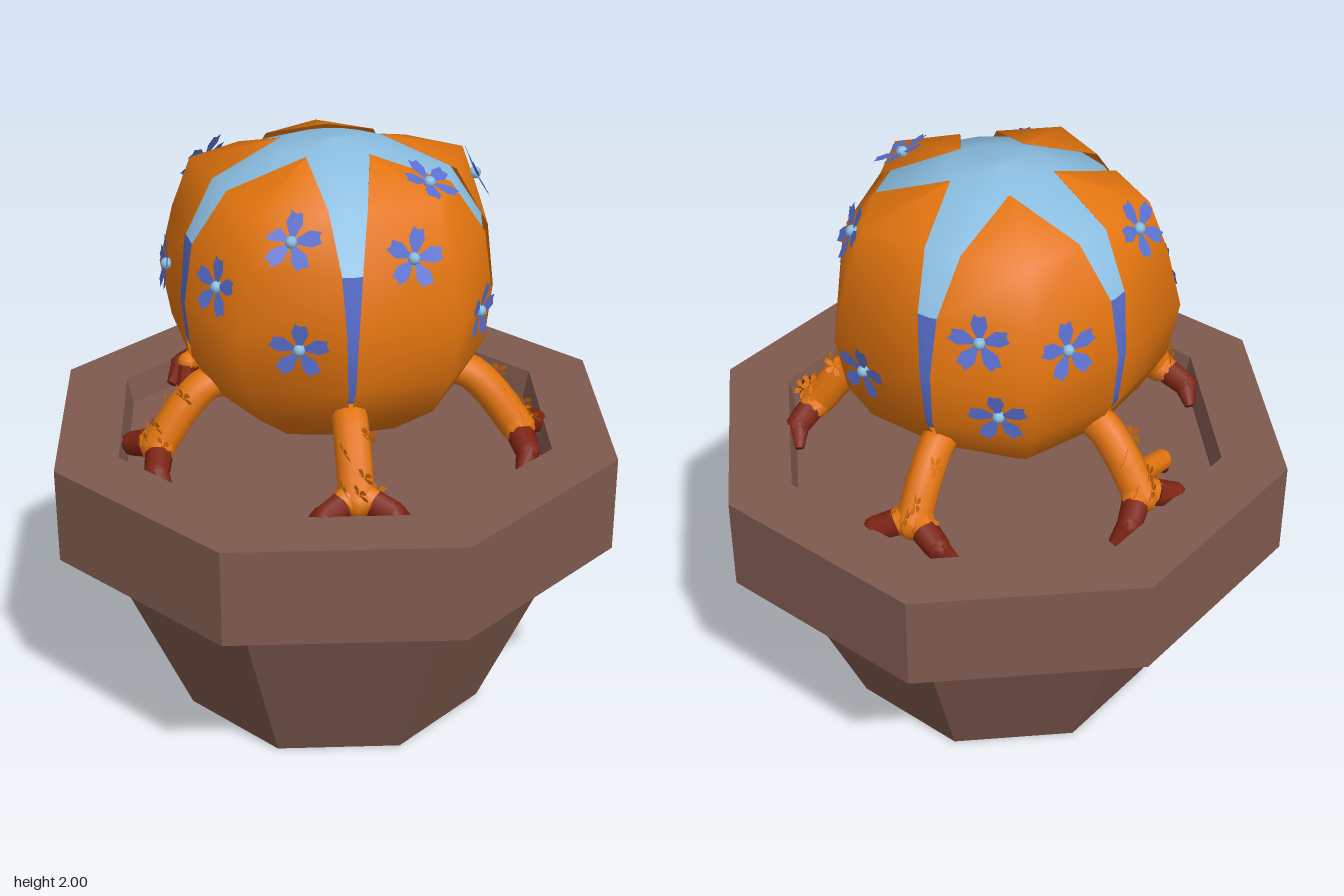
import * as THREE from 'three';
import { mergeGeometries } from 'three/addons/utils/BufferGeometryUtils.js';

const V = (x, y, z) => new THREE.Vector3(x, y, z);
const DEG = Math.PI / 180;

function material(name, color, options = {}) {
  const m = new THREE.MeshStandardMaterial({ color, ...options });
  m.name = name;
  return m;
}

function add(parent, name, geometry, mat) {
  const mesh = new THREE.Mesh(geometry, mat);
  mesh.name = name;
  parent.add(mesh);
  return mesh;
}

// Tapered round segment running from a to b
function segment(a, b, r0, r1) {
  const dir = b.clone().sub(a);
  const g = new THREE.CylinderGeometry(r1, r0, dir.length(), 8);
  g.applyQuaternion(new THREE.Quaternion().setFromUnitVectors(V(0, 1, 0), dir.normalize()));
  const mid = a.clone().add(b).multiplyScalar(0.5);
  return g.translate(mid.x, mid.y, mid.z);
}

function ball(p, r) {
  return new THREE.SphereGeometry(r, 8, 6).translate(p.x, p.y, p.z);
}

// Open, lathed profile given as [radius, y] pairs
function lathe(points, sides) {
  return new THREE.LatheGeometry(points.map(p => new THREE.Vector2(...p)), sides);
}

// Body segment rows: [middle radius, edge radius, half gap, y]
const ROWS = [
  [0.17, 0.14, 0.1, 1.985], [0.47, 0.39, 0.06, 1.9], [0.535, 0.5, 0.032, 1.73],
  [0.585, 0.525, 0.018, 1.53], [0.55, 0.505, 0.012, 1.34], [0.47, 0.43, 0, 1.2],
  [0.3, 0.27, 0, 1.075], [0.001, 0.001, 0, 1.05],
];

function segmentShell() {
  const pos = [], idx = [];
  const c = Math.cos(36 * DEG), s = Math.sin(36 * DEG);
  ROWS.forEach(([mid, r, w, y], j) => {
    const x = r * c + w * s, z = r * s - w * c;
    pos.push(x, y, -z, mid, y, 0, x, y, z);
    if (j === ROWS.length - 1) return;
    for (let k = 0; k < 2; k++) {
      const i = j * 3 + k;
      idx.push(i, i + 1, i + 4, i, i + 4, i + 3);
    }
  });
  const g = new THREE.BufferGeometry();
  g.setAttribute('position', new THREE.Float32BufferAttribute(pos, 3));
  g.setIndex(idx);
  g.computeVertexNormals();
  return g;
}

// Five notched petals lying in the xy plane
function flowerPetals(r) {
  const shape = new THREE.Shape([
    [0.12, -0.06], [0.6, -0.27], [0.95, -0.2], [0.9, 0], [1, 0.16], [0.62, 0.27], [0.12, 0.06],
  ].map(([x, y]) => new THREE.Vector2(x * r, y * r)));
  const parts = [];
  for (let i = 0; i < 5; i++) {
    parts.push(new THREE.ShapeGeometry(shape).rotateY(-0.1).rotateZ(i * 72 * DEG));
  }
  return mergeGeometries(parts);
}

export function createModel() {
  const model = new THREE.Group();
  model.name = 'pottedCreature';
  const clay = material('clay brown', 0x7e5a4e, { flatShading: true });
  const orange = material('orange', 0xe2740e, { side: THREE.DoubleSide });
  const sky = material('light blue', 0x8abde0);
  const violet = material('violet blue', 0x5a70d0, { side: THREE.DoubleSide });
  const claw = material('claw red', 0x7c2312);

  // Octagonal pot with a thick rim and a shallow recess
  add(model, 'pot', lathe([
    [0, 0], [0.54, 0], [0.84, 0.69], [0.985, 0.69], [0.985, 1.02],
    [0.765, 1.02], [0.745, 0.93], [0, 0.93],
  ], 8), clay);

  // Inner core that shows between the shell segments
  add(model, 'coreBand', lathe([
    [0.41, 1.2], [0.49, 1.34], [0.51, 1.53], [0.488, 1.72],
  ], 20), violet);
  add(model, 'coreDome', lathe([
    [0.488, 1.72], [0.38, 1.89], [0.17, 1.972], [0, 2],
  ], 20), sky);

  // Five orange shell segments
  const shells = [];
  const shellGeometry = segmentShell();
  for (let i = 0; i < 5; i++) {
    const shell = add(model, 'shellSegment', shellGeometry, orange);
    shell.rotation.y = -i * 72 * DEG;
    shell.updateMatrixWorld();
    shells.push(shell);
  }

  // Flowers, dropped onto the shell along rays to its middle
  const petalGeometry = flowerPetals(0.098);
  const budGeometry = new THREE.SphereGeometry(0.02, 8, 6);
  const middle = V(0, 1.5, 0);
  [
    [0.18, 1.93, 0.33], [0.04, 1.76, 0.49], [0.31, 1.52, 0.45],
    [0.45, 1.83, 0.09], [0.57, 1.45, -0.1],
    [-0.31, 1.83, 0.36], [-0.32, 1.5, 0.44], [-0.5, 1.65, 0.2],
    [0.3, 1.68, -0.43], [0.05, 1.63, -0.5], [0.27, 1.42, -0.5],
    [-0.3, 1.86, -0.34], [-0.5, 1.58, -0.2],
  ].forEach((p, i) => {
    const dir = V(...p).sub(middle).normalize();
    const ray = new THREE.Raycaster(middle.clone().addScaledVector(dir, 2), dir.clone().negate());
    const hit = ray.intersectObjects(shells)[0];
    if (!hit) return;
    const normal = hit.face.normal.clone().transformDirection(hit.object.matrixWorld);
    normal.lerp(dir, 0.4).normalize();
    const flower = new THREE.Group();
    flower.name = 'flower';
    add(flower, 'flowerPetals', petalGeometry, violet).rotation.z = i * 1.3;
    add(flower, 'flowerCentre', budGeometry, sky);
    flower.position.copy(hit.point).addScaledVector(normal, 0.012);
    flower.lookAt(flower.position.clone().add(normal));
    model.add(flower);
  });

  // Five legs under the gaps, each with spread claws
  const path = new THREE.CatmullRomCurve3([
    V(0.36, 1.23, 0), V(0.45, 1.225, 0), V(0.53, 1.16, 0), V(0.6, 1.07, 0), V(0.63, 1.03, 0),
  ]);
  const limbParts = [
    new THREE.TubeGeometry(path, 10, 0.058, 10),
    ball(V(0.63, 1.03, 0), 0.058),
  ];
  const clawParts = [];
  for (const side of [-1, 1]) {
    const knuckle = V(0.645, 1.025, side * 0.05), bend = V(0.675, 1.0, side * 0.11);
    limbParts.push(segment(V(0.61, 1.05, 0), knuckle, 0.05, 0.045));
    clawParts.push(
      segment(knuckle, bend, 0.046, 0.042), ball(bend, 0.042),
      segment(bend, V(0.66, 0.95, side * 0.17), 0.042, 0.018),
    );
  }
  const limbGeometry = mergeGeometries(limbParts);
  const clawGeometry = mergeGeometries(clawParts);
  const smallFlower = flowerPetals(0.036);

  for (let i = 0; i < 5; i++) {
    const leg = new THREE.Group();
    leg.name = 'leg';
    leg.rotation.y = -(36 + i * 72) * DEG;
    add(leg, 'limb', limbGeometry, orange);
    add(leg, 'claws', clawGeometry, claw);

    // Small raised blossoms along the limb
    [[0.45, -0.7], [0.55, 0.6], [0.72, -0.3], [0.85, 0.8], [0.95, 0], [0.9, -1.2]].forEach(([t, tilt]) => {
      const tangent = path.getTangent(t);
      const out = V(-tangent.y, tangent.x, 0).multiplyScalar(Math.cos(tilt));
      out.z = Math.sin(tilt);
      const blossom = add(leg, 'legBlossom', smallFlower, orange);
      blossom.position.copy(path.getPoint(t)).addScaledVector(out, 0.064);
      blossom.lookAt(blossom.position.clone().add(out));
    });
    model.add(leg);
  }

  // Extra curled toe beside the back leg
  const toe = [V(-0.2, 1.09, -0.56), V(-0.33, 1.06, -0.5), V(-0.37, 0.98, -0.46)];
  add(model, 'curledToe', mergeGeometries([
    segment(toe[0], toe[1], 0.04, 0.036), ball(toe[1], 0.036),
  ]), orange);
  add(model, 'curledToeClaw', segment(toe[1], toe[2], 0.034, 0.015), claw);

  return model;
}
